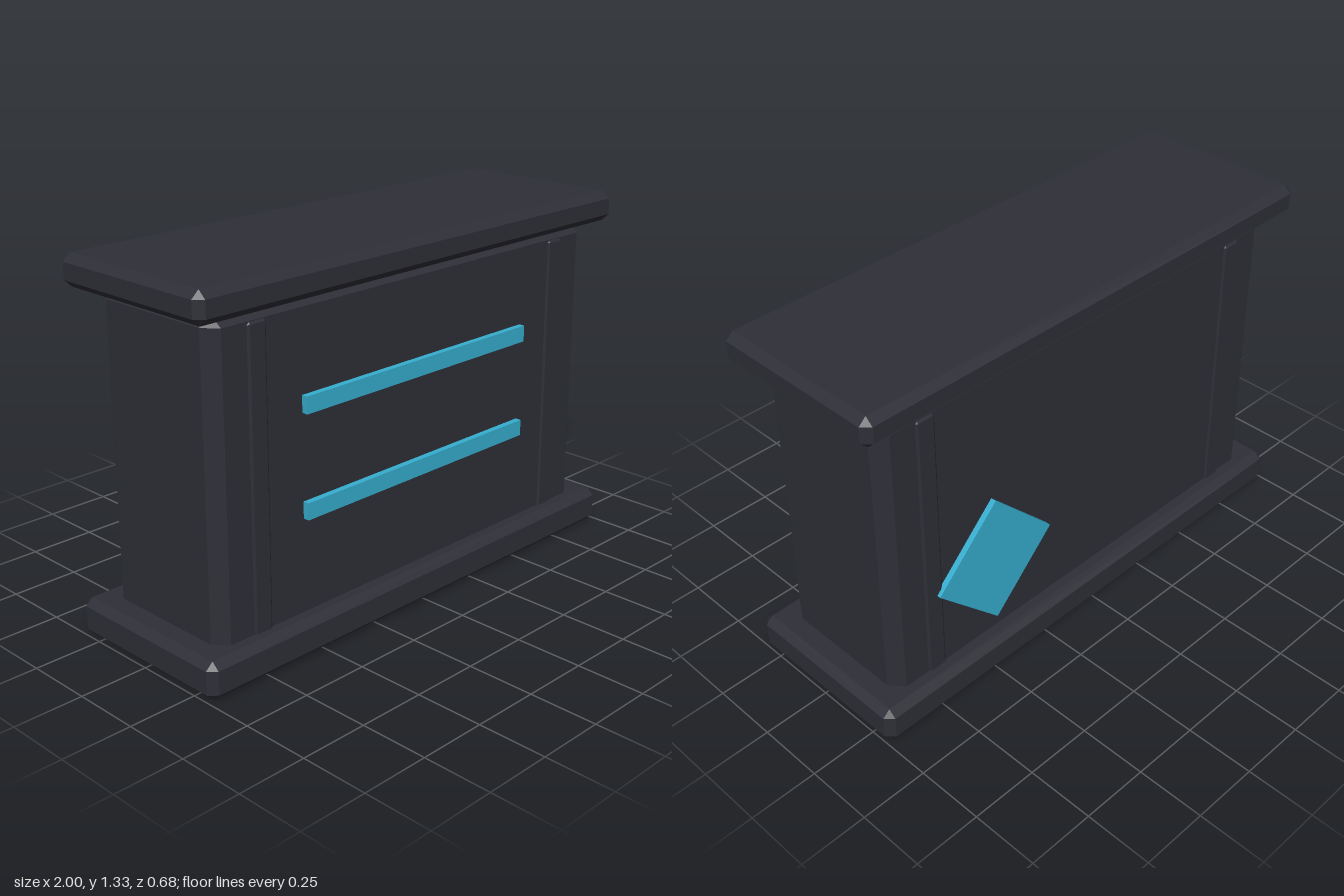
import * as THREE from 'three';
import { ConvexGeometry } from 'three/addons/geometries/ConvexGeometry.js';

const charcoal = new THREE.MeshStandardMaterial({ color: 0x2e2e37 });
charcoal.name = 'charcoal';
const cyan = new THREE.MeshStandardMaterial({ color: 0x36aed0 });
cyan.name = 'cyan';

// Box with every edge cut by the bevels bx, by, bz
function bevelBox(w, h, d, bx, by, bz) {
  const points = [];
  for (const sx of [-1, 1]) for (const sy of [-1, 1]) for (const sz of [-1, 1]) {
    const x = w / 2, y = h / 2, z = d / 2;
    points.push(
      new THREE.Vector3(sx * x, sy * (y - by), sz * (z - bz)),
      new THREE.Vector3(sx * (x - bx), sy * y, sz * (z - bz)),
      new THREE.Vector3(sx * (x - bx), sy * (y - by), sz * z)
    );
  }
  return new ConvexGeometry(points);
}

export function createModel() {
  const group = new THREE.Group();
  group.name = 'counter';
  const add = (name, geometry, material, x, y, z) => {
    const mesh = new THREE.Mesh(geometry, material);
    mesh.name = name;
    mesh.position.set(x, y, z);
    group.add(mesh);
    return mesh;
  };

  // Base, body and counter top
  add('base', bevelBox(2, 0.136, 0.68, 0.028, 0.026, 0.028), charcoal, 0, 0.068, 0);
  add('body', bevelBox(1.814, 1.17, 0.554, 0.042, 0.037, 0.05), charcoal, 0, 0.635, 0);
  add('counterTop', bevelBox(2, 0.111, 0.68, 0.028, 0.026, 0.028), charcoal, 0, 1.2745, 0);

  // Pilasters on the front and back
  const pilaster = bevelBox(0.076, 1.12, 0.04, 0.008, 0.008, 0.006);
  for (const x of [-0.728, 0.728]) for (const z of [-0.264, 0.264]) {
    add('pilaster', pilaster, charcoal, x, 0.62, z);
  }

  // Front light strips
  const strip = new THREE.BoxGeometry(1.085, 0.06, 0.03);
  for (const y of [0.502, 0.866]) add('lightStrip', strip, cyan, 0, y, 0.285);

  // Diamond panel on the back
  const diamond = add('backDiamond', new THREE.BoxGeometry(0.364, 0.364, 0.03), cyan, 0.46, 0.453, -0.283);
  diamond.rotation.z = Math.PI / 4;

  return group;
}
